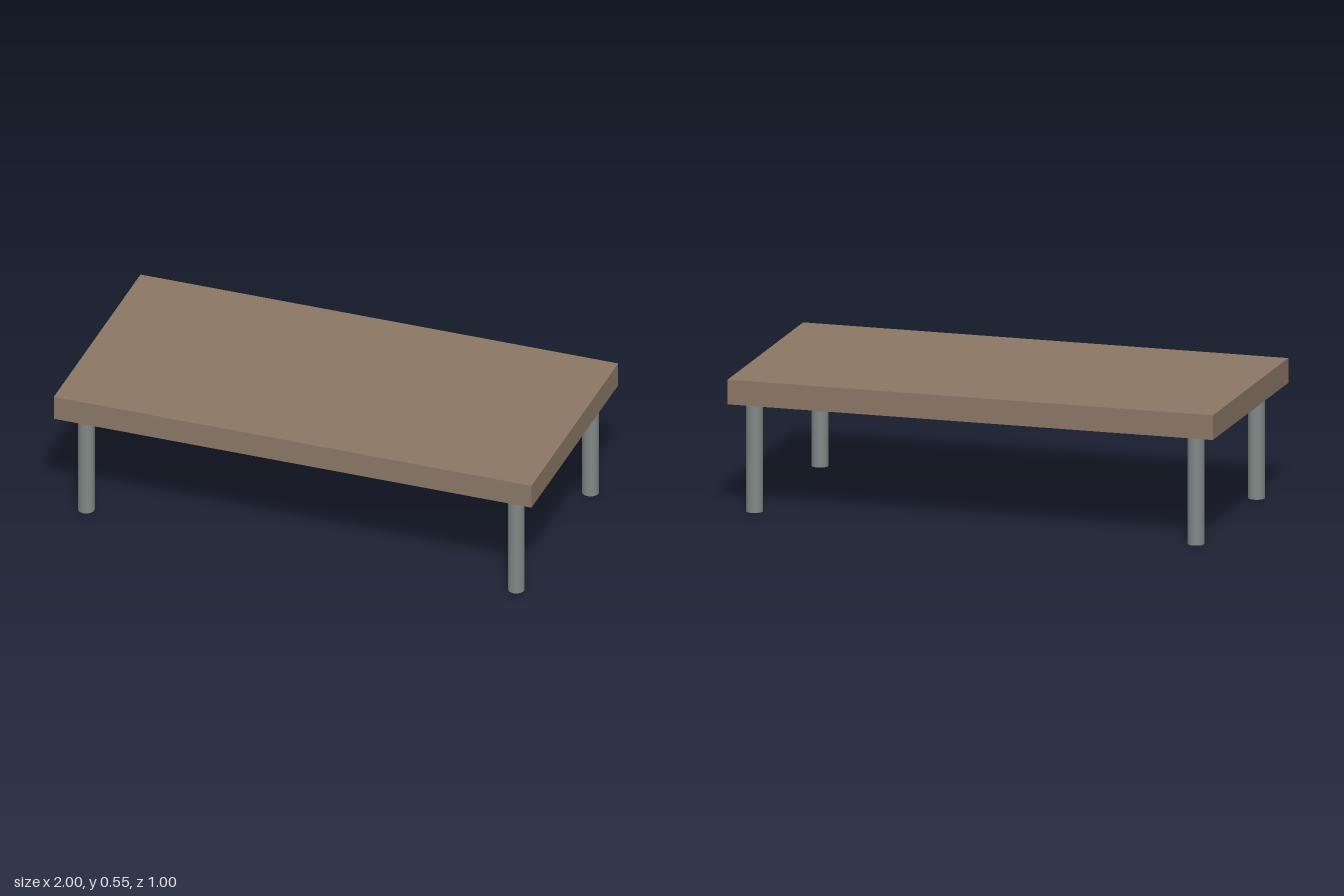
import * as THREE from 'three';

export function createModel() {
  const model = new THREE.Group();
  model.name = 'table';

  const wood = new THREE.MeshStandardMaterial({ color: 0x8b7765 });
  wood.name = 'brown wood';
  const metal = new THREE.MeshStandardMaterial({ color: 0x7f8785 });
  metal.name = 'grey metal';

  const legHeight = 0.45;
  const topThickness = 0.1;

  // Table top slab
  const top = new THREE.Mesh(new THREE.BoxGeometry(2, topThickness, 1), wood);
  top.name = 'tableTop';
  top.position.y = legHeight + topThickness / 2;
  model.add(top);

  // Four round legs; the back left one stands slightly further out
  const legGeometry = new THREE.CylinderGeometry(0.0333, 0.0333, legHeight, 32);
  const legs = [
    ['frontLeftLeg', 0.9, 0.4],
    ['frontRightLeg', -0.9, 0.4],
    ['backLeftLeg', 0.92, -0.4],
    ['backRightLeg', -0.9, -0.4],
  ];
  for (const [name, x, z] of legs) {
    const leg = new THREE.Mesh(legGeometry, metal);
    leg.name = name;
    leg.position.set(x, legHeight / 2, z);
    model.add(leg);
  }

  return model;
}
